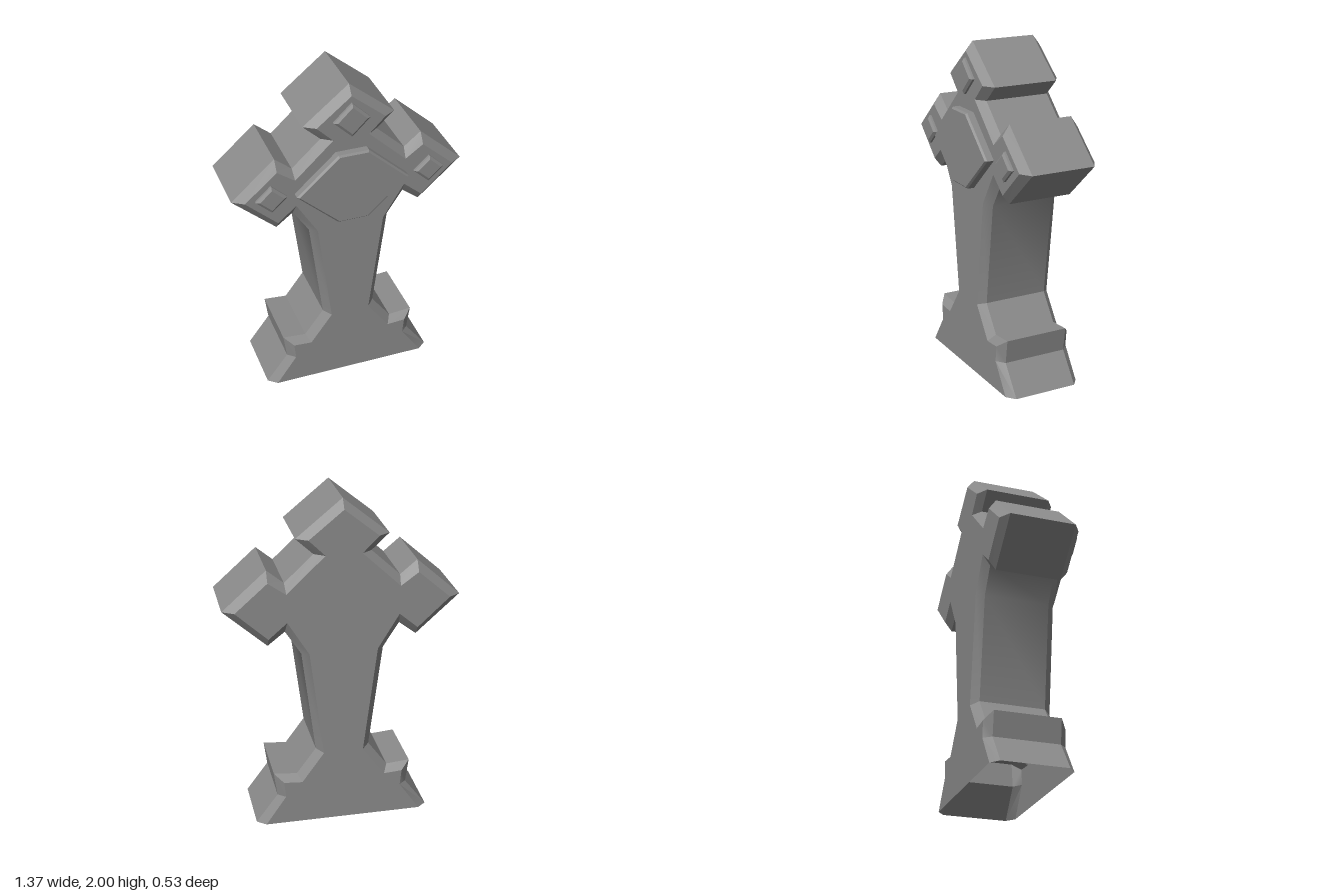
import * as THREE from 'three';
import { toCreasedNormals } from 'three/addons/utils/BufferGeometryUtils.js';

const material = new THREE.MeshStandardMaterial({ color: 0x8a8a8a, side: THREE.DoubleSide });

// Joins counter-clockwise [x, y] outlines stacked from back to front, and caps the ends.
// skipEdge leaves one edge of the outline open.
function stack(name, layers, { backCap = true, skipEdge = -1 } = {}) {
  const pos = [];
  const put = (p, z) => pos.push(p[0], p[1], z);
  for (let k = 0; k < layers.length - 1; k++) {
    const a = layers[k], b = layers[k + 1], n = a.ring.length;
    for (let i = 0; i < n; i++) {
      if (i === skipEdge) continue;
      const j = (i + 1) % n;
      put(a.ring[i], a.z); put(a.ring[j], a.z); put(b.ring[j], b.z);
      put(a.ring[i], a.z); put(b.ring[j], b.z); put(b.ring[i], b.z);
    }
  }
  const cap = ({ ring, z }, flip) => {
    const tris = THREE.ShapeUtils.triangulateShape(ring.map(p => new THREE.Vector2(...p)), []);
    for (const [a, b, c] of tris) for (const i of flip ? [a, c, b] : [a, b, c]) put(ring[i], z);
  };
  cap(layers[layers.length - 1], false);
  if (backCap) cap(layers[0], true);
  const geometry = new THREE.BufferGeometry();
  geometry.setAttribute('position', new THREE.Float32BufferAttribute(pos, 3));
  // Only the gentle bend of the shaft is shaded smooth
  const mesh = new THREE.Mesh(toCreasedNormals(geometry, Math.PI / 6), material);
  mesh.name = name;
  return mesh;
}

// Completes a right-hand profile, ending on the centre line, with its mirror image
const mirror = half => [...half, ...half.slice(0, -1).reverse().map(([x, y]) => [-x, y])];

// A raised plate with a bevelled front edge
function plate(name, ring, inner, back, edge, front) {
  return stack(name, [{ ring, z: back }, { ring, z: edge }, { ring: inner, z: front }], { backCap: false });
}

const diamond = (cx, cy, w, h) => [[cx, cy - h], [cx + w, cy], [cx, cy + h], [cx - w, cy]];
const hexagon = (cy, w, h, flat) =>
  [[-flat, cy - h], [flat, cy - h], [w, cy], [flat, cy + h], [-flat, cy + h], [-w, cy]];

export function createModel() {
  const group = new THREE.Group();
  group.name = 'crossMonument';

  // Cross body: full outline in the middle, smaller outline on the front and back faces
  const outer = mirror([
    [0.525, 0], [0.395, 0.175], [0.415, 0.32], [0.275, 0.308], [0.16, 0.465], [0.24, 1.09],
    [0.333, 1.235], [0.433, 1.157], [0.687, 1.385], [0.432, 1.612], [0.333, 1.53],
    [0.165, 1.687], [0.267, 1.782], [0, 2],
  ]);
  const inner = mirror([
    [0.472, 0], [0.35, 0.178], [0.36, 0.275], [0.25, 0.267], [0.118, 0.45], [0.2, 1.1],
    [0.325, 1.305], [0.433, 1.212], [0.62, 1.385], [0.432, 1.55], [0.328, 1.475],
    [0.105, 1.687], [0.2, 1.782], [0, 1.945],
  ]);
  group.add(stack('crossBody', [
    { ring: inner, z: -0.263 }, { ring: outer, z: -0.22 },
    { ring: outer, z: 0.17 }, { ring: inner, z: 0.213 },
  ], { skipEdge: outer.length - 1 })); // the underside is open

  // Large plate where the arms meet
  group.add(plate('centerPlate', hexagon(1.388, 0.333, 0.223, 0.09), hexagon(1.388, 0.32, 0.213, 0.085),
    0.205, 0.253, 0.264));

  // Small diamond plates at the ends of the arms
  for (const [name, x, y, w, h] of [
    ['topDiamond', 0, 1.803, 0.107, 0.104],
    ['leftDiamond', 0.47, 1.388, 0.092, 0.086],
    ['rightDiamond', -0.47, 1.388, 0.092, 0.086],
  ]) {
    group.add(plate(name, diamond(x, y, w, h), diamond(x, y, w - 0.022, h - 0.02), 0.205, 0.226, 0.237));
  }
  return group;
}
